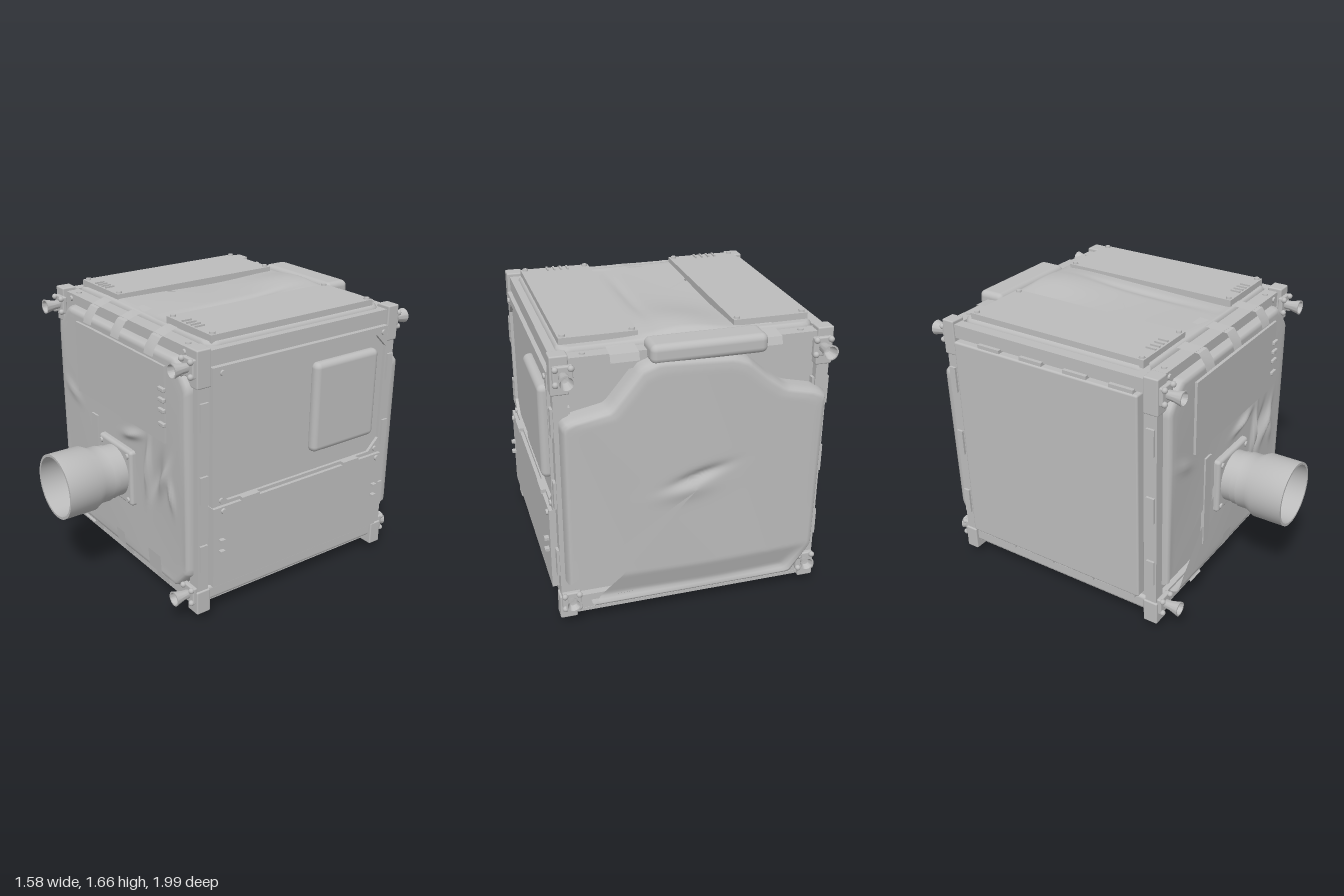
import * as THREE from 'three';
import { RoundedBoxGeometry } from 'three/addons/geometries/RoundedBoxGeometry.js';
import { toCreasedNormals } from 'three/addons/utils/BufferGeometryUtils.js';

const grey = new THREE.MeshStandardMaterial({ color: 0xbcbcbc, side: THREE.DoubleSide });
grey.name = 'light grey';

function add(parent, name, geometry, x = 0, y = 0, z = 0) {
  const mesh = new THREE.Mesh(geometry, grey);
  mesh.name = name;
  mesh.position.set(x, y, z);
  parent.add(mesh);
  return mesh;
}

// Box given by its limits on each axis
function block(parent, name, x0, x1, y0, y1, z0, z1, r = 0) {
  const s = [x1 - x0, y1 - y0, z1 - z0];
  const g = r ? new RoundedBoxGeometry(...s, 3, r) : new THREE.BoxGeometry(...s);
  return add(parent, name, g, (x0 + x1) / 2, (y0 + y1) / 2, (z0 + z1) / 2);
}

function lathe(points) {
  const g = new THREE.LatheGeometry(points.map(p => new THREE.Vector2(...p)), 48);
  return toCreasedNormals(g.rotateX(Math.PI / 2), 0.5);
}

function outline(points) {
  return new THREE.Shape(points.map(p => new THREE.Vector2(...p)));
}

function octagon(x0, x1, y0, y1, cx, cy) {
  return [[x0 + cx, y0], [x1 - cx, y0], [x1, y0 + cy], [x1, y1 - cy],
    [x1 - cx, y1], [x0 + cx, y1], [x0, y1 - cy], [x0, y0 + cy]];
}

// Soft padded sheet facing +z: rings of the outline shrink to its centre
function blanket(points, centre, depth, relief) {
  const rim = outline(points).getSpacedPoints(160);
  const rings = [[1, 0], [1, 0.55], [0.99, 0.85], [0.975, 1]];
  for (let i = 1; i <= 40; i++) rings.push([0.975 * (1 - i / 40), 1]);
  const pos = [], index = [], n = rim.length;
  rings.forEach(([s, h], j) => rim.forEach((p, i) => {
    const x = centre[0] + (p.x - centre[0]) * s, y = centre[1] + (p.y - centre[1]) * s;
    pos.push(x, y, depth * h + (j > 2 ? relief(x, y) * Math.min(1, (1 - s) * 12) : 0));
    if (j && i) {
      const a = (j - 1) * n + i - 1, b = j * n + i - 1;
      index.push(a, a + 1, b, a + 1, b + 1, b);
    }
  }));
  const g = new THREE.BufferGeometry();
  g.setAttribute('position', new THREE.Float32BufferAttribute(pos, 3));
  g.setIndex(index);
  g.computeVertexNormals();
  return g;
}

// Elongated crease or dent at (cx, cy), turned by angle
function crease(x, y, cx, cy, w, h, angle, amount) {
  const c = Math.cos(angle), s = Math.sin(angle), dx = x - cx, dy = y - cy;
  return amount * Math.exp(-(((dx * c + dy * s) / w) ** 2) - ((-dx * s + dy * c) / h) ** 2);
}

function screw(parent, x, y, z, axis) {
  const g = new THREE.CylinderGeometry(0.015, 0.017, 0.012, 12);
  if (axis === 'x') g.rotateZ(-Math.PI / 2);
  if (axis === 'z') g.rotateX(Math.PI / 2);
  add(parent, 'screw', g, x, y, z);
}

// Ribbon extruded across x, following [z, y] points
function strap(parent, x, width, path) {
  const pos = [], index = [];
  path.forEach(([z, y, shift = 0], i) => {
    pos.push(x + shift - width / 2, y, z, x + shift + width / 2, y, z);
    if (i) index.push(2 * i - 2, 2 * i, 2 * i - 1, 2 * i - 1, 2 * i, 2 * i + 1);
  });
  const g = new THREE.BufferGeometry();
  g.setAttribute('position', new THREE.Float32BufferAttribute(pos, 3));
  g.setIndex(index);
  add(parent, 'strap', toCreasedNormals(g, 0.5));
}

function cornerThruster(dir, length) {
  const g = new THREE.Group();
  g.name = 'cornerThruster';
  block(g, 'thrusterPlate', -0.052, 0.052, -0.052, 0.052, -0.01, 0.02, 0.008);
  add(g, 'nozzle', lathe([[0.02, 0.01], [0.026, 0.025], [0.028, length * 0.5], [0.043, length],
    [0.035, length], [0.02, length * 0.5], [0, length * 0.45]]));
  for (const x of [-0.04, 0.04]) for (const y of [-0.04, 0.04])
    add(g, 'thrusterBolt', new THREE.SphereGeometry(0.017, 12, 8), x, y, 0.025);
  if (dir < 0) g.rotation.y = Math.PI;
  return g;
}

export function createModel() {
  const root = new THREE.Group();
  root.name = 'boxSatellite';

  block(root, 'core', -0.73, 0.7, 0.09, 1.57, -0.83, 0.48);

  // Corner posts with heavier end brackets and thrusters
  for (const [x0, x1, tx] of [[-0.77, -0.68, -0.705], [0.64, 0.735, 0.672]]) {
    for (const [z0, z1, dir] of [[0.45, 0.54, 1], [-0.88, -0.8, -1]]) {
      block(root, 'cornerPost', x0 + 0.01, x1 - 0.01, 0.06, 1.6, z0 + 0.01, z1 - 0.01);
      for (const [y0, y1, ty] of [[0.045, 0.19, 0.165], [1.4, 1.61, 1.51]]) {
        block(root, 'cornerBracket', x0, x1, y0, y1, z0, z1, 0.008);
        const t = cornerThruster(dir, dir > 0 ? 0.115 : ty > 1 ? 0.11 : 0.06);
        t.position.set(tx, ty, dir > 0 ? z1 : z0);
        root.add(t);
        if (dir > 0) screw(root, tx - Math.sign(tx) * 0.085, ty + (ty > 1 ? 0.05 : -0.03), 0.52, 'z');
      }
      for (let i = 0; i < 3; i++)
        block(root, 'postClip', x0 - 0.004, x1 + 0.004, 0.32 + i * 0.42, 0.48 + i * 0.42, z0 + 0.02, z1 - 0.02);
    }
    // Side rails
    block(root, 'topSideRail', x0 + 0.01, x1 - 0.015, 1.51, 1.59, -0.82, 0.47);
    block(root, 'bottomSideRail', x0 + 0.02, x1 - 0.02, 0.1, 0.19, -0.82, 0.47, 0.02);
  }

  // Cross beams front and back
  for (const [z0, z1] of [[0.43, 0.515], [-0.87, -0.79]]) {
    block(root, 'topBeam', -0.69, 0.65, 1.5, 1.59, z0, z1);
    block(root, 'bottomBeam', -0.69, 0.65, 0.085, 0.17, z0, z1);
    block(root, 'bottomRail', -0.69, 0.65, 0.055, 0.075, z0 + 0.01, z1 - 0.01);
    for (const x of [-0.6, 0.56]) screw(root, x, 1.592, (z0 + z1) / 2, 'y');
  }

  // Front insulation blanket with wrinkles
  const frontRelief = (x, y) => 0.006 * Math.sin(5 * x + 2) * Math.sin(4 * y)
    + crease(x, y, 0.3, 0.8, 0.018, 0.15, -0.1, 0.03) + crease(x, y, 0.38, 0.78, 0.03, 0.14, -0.35, -0.025)
    + crease(x, y, 0.47, 0.8, 0.025, 0.11, -0.4, 0.03) + crease(x, y, 0.53, 0.72, 0.02, 0.08, 0.2, 0.02)
    + crease(x, y, 0.14, 0.95, 0.1, 0.025, 0.3, 0.025) + crease(x, y, -0.55, 1.0, 0.09, 0.03, -0.5, 0.012);
  add(root, 'frontBlanket', blanket(octagon(-0.7, 0.685, 0.155, 1.53, 0.115, 0.13), [0, 0.84], 0.075, frontRelief), 0, 0, 0.495);
  block(root, 'frontPanel', -0.45, 0.5, 1.03, 1.47, 0.55, 0.587);
  for (const y of [1.14, 1.22, 1.28, 1.34]) block(root, 'panelHinge', 0.455, 0.51, y - 0.012, y + 0.012, 0.58, 0.602, 0.006);
  block(root, 'frontStrip', -0.315, -0.25, 0.34, 0.93, 0.56, 0.58);

  // Camera: mount plate, stepped barrel and open hood
  const camera = new THREE.Group();
  camera.name = 'camera';
  camera.position.set(-0.015, 0.675, 0);
  root.add(camera);
  block(camera, 'mountPlate', -0.18, 0.18, -0.175, 0.175, 0.55, 0.605, 0.02);
  for (const x of [-0.145, 0.145]) for (const y of [-0.14, 0.14]) screw(camera, x, y, 0.61, 'z');
  add(camera, 'barrel', lathe([[0.155, 0.6], [0.155, 0.66], [0.16, 0.66], [0.16, 0.7], [0.167, 0.7], [0.167, 0.76],
    [0.193, 0.81], [0.193, 1], [0.178, 1], [0.174, 0.83], [0.155, 0.8], [0.15, 0.76], [0.135, 0.76], [0.13, 0.72], [0.118, 0.72]]));
  add(camera, 'lens', lathe([[0.12, 0.715], [0.08, 0.73], [0.04, 0.738], [0, 0.74]]));

  // Left side: framed upper panel, padded box and lower panel
  const frame = outline([[-0.8, 0.7], [0.445, 0.7], [0.445, 1.5], [-0.8, 1.5]]);
  frame.holes.push(outline(octagon(-0.79, 0.415, 0.72, 1.455, 0.075, 0.075)));
  // shape x becomes model z
  const frameGeo = new THREE.ExtrudeGeometry(frame, { depth: 0.03, bevelEnabled: false });
  frameGeo.scale(-1, 1, 1).rotateY(Math.PI / 2);
  const idx = frameGeo.attributes.position.array;
  for (let i = 0; i < idx.length; i += 9) for (let k = 0; k < 3; k++)
    [idx[i + 3 + k], idx[i + 6 + k]] = [idx[i + 6 + k], idx[i + 3 + k]];
  frameGeo.computeVertexNormals();
  add(root, 'upperFrame', frameGeo, 0.71);
  block(root, 'upperPanel', 0.69, 0.722, 0.71, 1.47, -0.795, 0.42);
  block(root, 'paddedBox', 0.7, 0.772, 0.845, 1.385, -0.715, -0.24, 0.034);
  block(root, 'lowerPanel', 0.7, 0.76, 0.21, 0.7, -0.8, 0.45);
  for (const z of [-0.765, 0.385]) {
    for (const y of [0.73, 1.465]) screw(root, 0.744, y, z, 'x');
    screw(root, 0.766, 0.675, z, 'x');
  }
  for (const z of [-0.75, 0.4]) for (const y of [0.43, 0.5])
    block(root, 'lowerClip', 0.75, 0.785, y - 0.008, y + 0.008, z - 0.015, z + 0.015);
  for (const z of [-0.55, 0.2]) block(root, 'panelLatch', 0.74, 0.768, 0.695, 0.72, z - 0.06, z + 0.06);

  // Right side: one large panel with edge clips
  block(root, 'rightPanel', -0.79, -0.72, 0.21, 1.5, -0.79, 0.43, 0.012);
  for (let i = 0; i < 4; i++) {
    const z = -0.62 + i * 0.29;
    block(root, 'rightClip', -0.782, -0.74, 1.485, 1.52, z, z + 0.15);
    block(root, 'rightClip', -0.782, -0.74, 0.19, 0.225, z, z + 0.15);
  }

  // Back blanket: rises to a hump at the top, drawn with x reversed
  const backShape = [[-0.56, 0.13], [0.6, 0.13], [0.72, 0.3], [0.73, 1.26], [0.67, 1.29], [0.5, 1.33], [0.39, 1.41],
    [0.28, 1.51], [0.2, 1.54], [-0.2, 1.56], [-0.29, 1.53], [-0.37, 1.43], [-0.46, 1.32], [-0.66, 1.28], [-0.7, 1.26], [-0.7, 0.3]];
  const backRelief = (x, y) => 0.012 * Math.cos(1.8 * x)
    + crease(x, y, 0.02, 0.88, 0.14, 0.03, 0.25, -0.025) + crease(x, y, -0.05, 0.8, 0.14, 0.05, 0.1, 0.012)
    + 0.004 * Math.sin(6 * x + 3 * y) - (y < 0.32 ? (0.32 - y) * 0.3 : 0);
  add(root, 'backBlanket', blanket(backShape, [0, 0.8], 0.11, backRelief), 0, 0, -0.84).rotation.y = Math.PI;

  // Top blanket, soft middle swelling and two flat panels
  const topRelief = (x, y) => 0.008 * Math.sin(5 * x) * Math.sin(4 * y)
    + crease(x, y, 0, 0.65, 0.22, 0.25, 0, 0.04) + crease(x, y, 0.15, 0.1, 0.03, 0.4, 0, -0.012);
  add(root, 'topBlanket', blanket(octagon(-0.7, 0.68, -0.43, 0.8, 0.04, 0.04), [0, 0.18], 0.06, topRelief), 0, 1.55).rotation.x = -Math.PI / 2;
  block(root, 'topBackPad', -0.38, 0.24, 1.53, 1.635, -0.95, -0.78, 0.035);
  for (const [x0, x1] of [[-0.68, -0.265], [0.25, 0.66]]) {
    block(root, 'topPanel', x0, x1, 1.6, 1.645, -0.74, 0.4);
    for (const x of [x0 + 0.025, x1 - 0.025]) for (const z of [-0.715, 0.375]) screw(root, x, 1.65, z, 'y');
    for (let i = 0; i < 4; i++)
      block(root, 'topClip', x0 + 0.13 + i * 0.04, x0 + 0.14 + i * 0.04, 1.64, 1.655, 0.33, 0.39);
  }

  // Straps over the upper and lower edges
  for (const [x, shift] of [[-0.31, -0.05], [0, -0.04], [0.35, -0.05]])
    strap(root, x, 0.09, [[0.587, 1.49], [0.575, 1.53], [0.535, 1.585], [0.46, 1.6, shift / 2], [0.34, 1.618, shift]]);
  for (const x of [-0.4, 0.36])
    strap(root, x, 0.15, [[-0.9, 1.55], [-0.885, 1.59], [-0.8, 1.6], [-0.7, 1.62]]);
  for (const [x, w, top] of [[-0.4, 0.12, 0.16], [-0.015, 0.09, 0.26], [0.365, 0.13, 0.29]])
    strap(root, x, w, [[0.583, top], [0.575, 0.17], [0.525, 0.13], [0.52, 0.08], [0.46, 0.048], [0.3, 0.046]]);
  for (const x of [-0.4, 0, 0.37])
    strap(root, x, 0.12, [[-0.92, 0.18], [-0.875, 0.13], [-0.875, 0.07], [-0.78, 0.05]]);

  // Underside plates and four mounting bars
  block(root, 'bottomPlate', -0.66, 0.63, 0.055, 0.1, -0.76, 0.36);
  for (const [x0, x1] of [[-0.64, -0.24], [0.22, 0.595]]) {
    block(root, 'bottomPanel', x0 + 0.08, x1 - 0.08, 0.047, 0.06, -0.72, 0.33);
    for (const z of [-0.63, 0.25]) {
      block(root, 'mountingBar', x0, x1, 0.008, 0.034, z - 0.017, z + 0.017, 0.006);
      for (const x of [x0 + 0.03, x1 - 0.03]) {
        add(root, 'barFoot', new THREE.CylinderGeometry(0.012, 0.012, 0.01, 12), x, 0.005, z);
        block(root, 'barPost', x - 0.01, x + 0.01, 0.03, 0.06, z - 0.01, z + 0.01);
      }
    }
  }
  return root;
}
